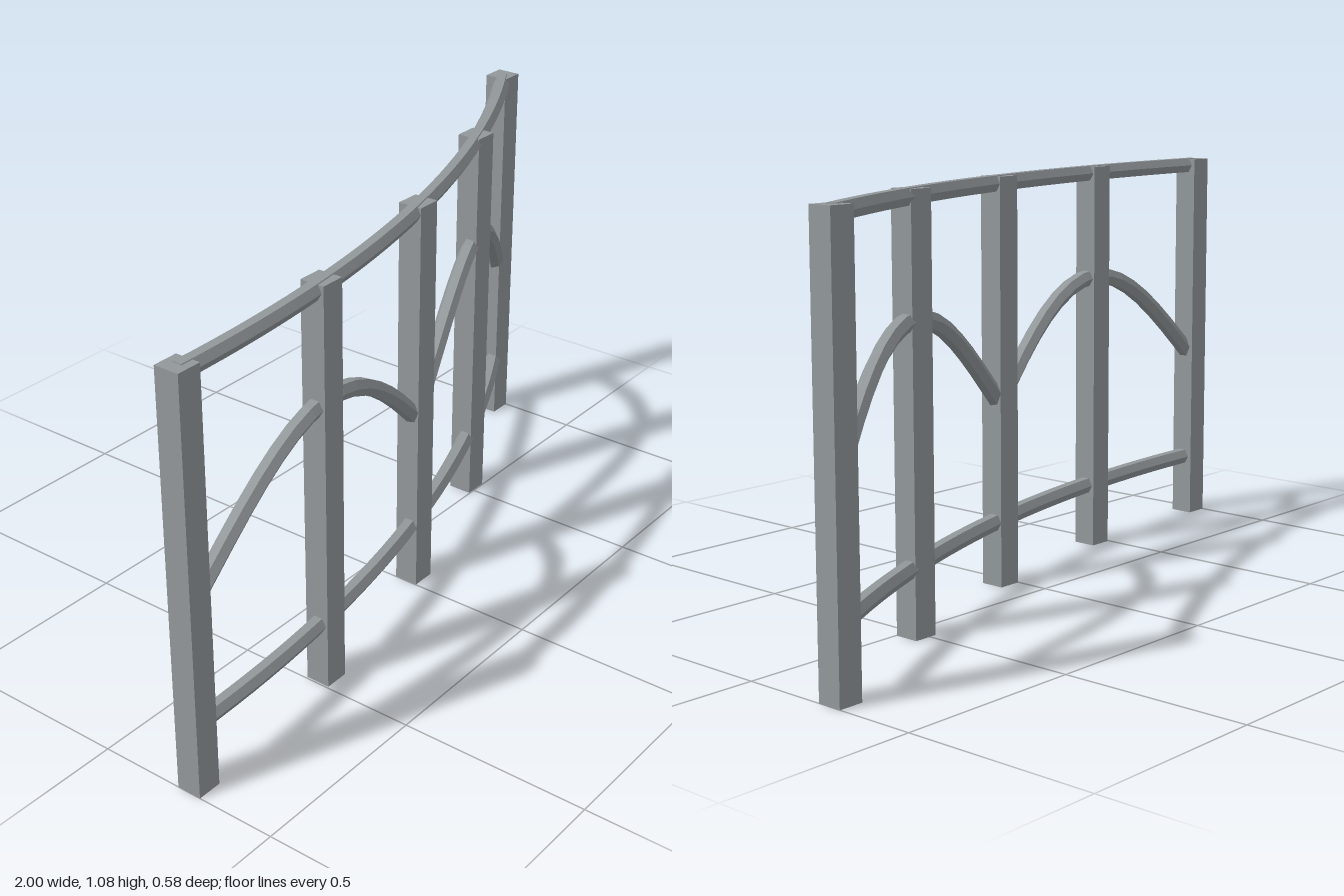
import * as THREE from 'three';

const RADIUS = 3.88, SWEEP = 0.522, BAYS = 4; // plan arc of the fence
const POST_W = 0.066, POST_H = 1.08, BAR_R = 0.0235, BAR_SIDES = 6;

const material = new THREE.MeshStandardMaterial({
  color: 0x92979a, flatShading: true,
});

// Point on the curved fence line; u runs 0..1 from end to end
function fencePoint(u, y) {
  const a = u * SWEEP;
  return new THREE.Vector3(-0.967 + RADIUS * Math.sin(a), y, 0.258 - RADIUS * (1 - Math.cos(a)));
}

// Hexagonal bar swept along pointAt(0..1), kept level, with closed ends
function sweptBar(pointAt, steps) {
  const rings = [];
  for (let i = 0; i <= steps; i++) {
    const t = i / steps, e = 0.001;
    const centre = pointAt(t);
    const tangent = pointAt(t + e).sub(pointAt(t - e)).normalize();
    const side = new THREE.Vector3(-tangent.z, 0, tangent.x).normalize();
    const up = new THREE.Vector3().crossVectors(side, tangent);
    const ring = [];
    for (let k = 0; k < BAR_SIDES; k++) {
      const a = (k / BAR_SIDES) * Math.PI * 2;
      ring.push(centre.clone()
        .addScaledVector(side, BAR_R * Math.cos(a))
        .addScaledVector(up, BAR_R * Math.sin(a)));
    }
    rings.push(ring);
  }
  const points = [];
  for (let i = 0; i < steps; i++) {
    for (let k = 0; k < BAR_SIDES; k++) {
      const n = (k + 1) % BAR_SIDES;
      const a = rings[i][k], b = rings[i][n], c = rings[i + 1][k], d = rings[i + 1][n];
      points.push(a, c, b, b, c, d);
    }
  }
  const first = rings[0], last = rings[steps];
  for (let k = 1; k < BAR_SIDES - 1; k++) {
    points.push(first[0], first[k], first[k + 1], last[0], last[k + 1], last[k]);
  }
  const geometry = new THREE.BufferGeometry().setFromPoints(points);
  geometry.computeVertexNormals();
  return geometry;
}

export function createModel() {
  const group = new THREE.Group();
  group.name = 'curvedFence';
  const add = (name, geometry) => {
    const mesh = new THREE.Mesh(geometry, material);
    mesh.name = name;
    group.add(mesh);
    return mesh;
  };

  // Square posts, all facing straight forward
  const postGeometry = new THREE.BoxGeometry(POST_W, POST_H, POST_W);
  for (let i = 0; i <= BAYS; i++) {
    add('post' + (i + 1), postGeometry).position.copy(fencePoint(i / BAYS, POST_H / 2));
  }

  // Horizontal rails following the curve
  add('bottomRail', sweptBar((t) => fencePoint(t, 0.174), 32));
  add('topRail', sweptBar((t) => fencePoint(t, 1.062), 32));

  // Two arches, each spanning two bays
  for (let i = 0; i < 2; i++) {
    add(i ? 'leftArch' : 'rightArch', sweptBar(
      (t) => fencePoint((i + t) / 2, 0.484 + 0.287 * Math.sin(Math.PI * t)), 16));
  }
  return group;
}
